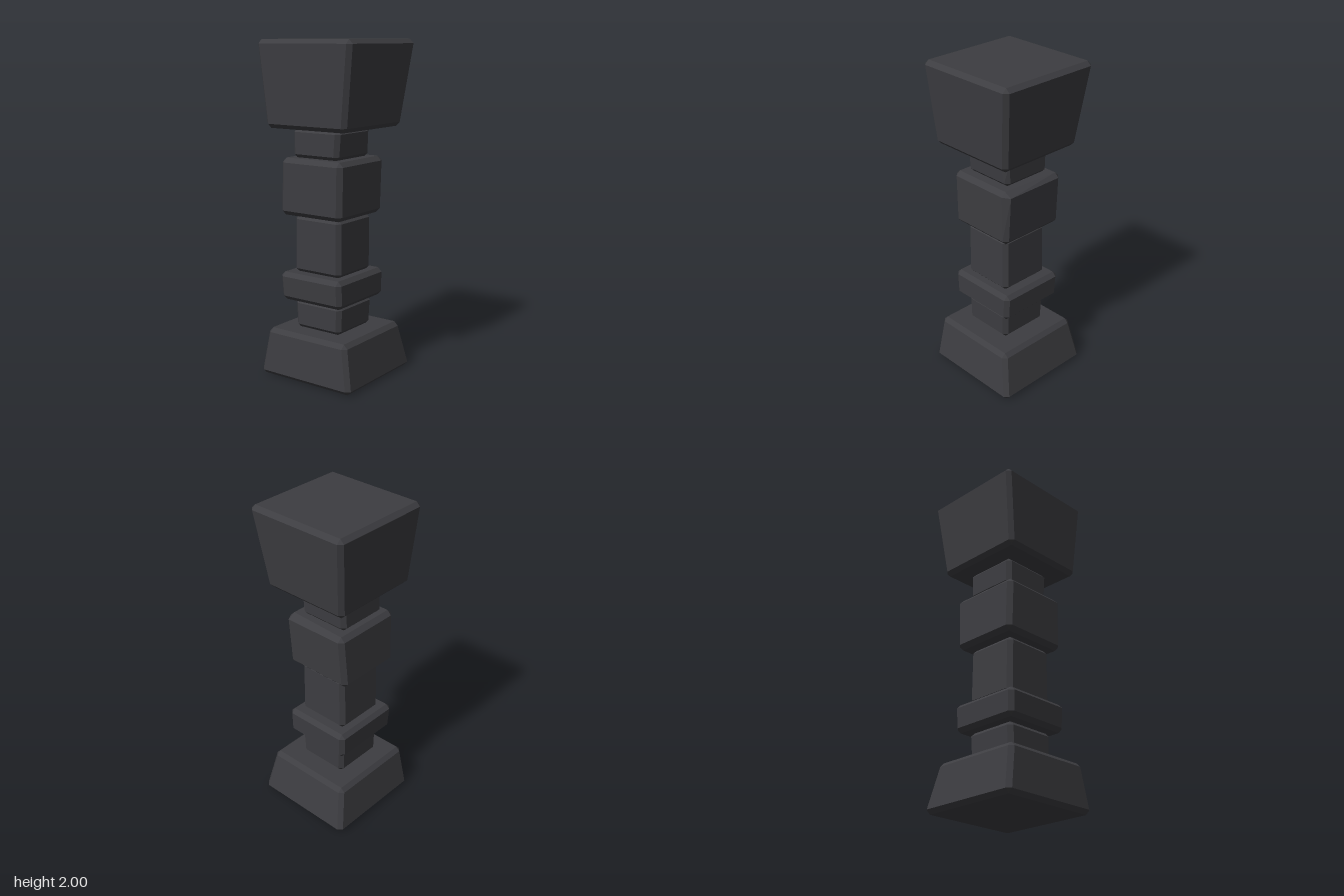
import * as THREE from 'three';
import { ConvexGeometry } from 'three/addons/geometries/ConvexGeometry.js';

const stone = new THREE.MeshStandardMaterial({ color: 0x3d3d41 });

// Tapered block with every edge bevelled by c.
// bottom and top are [xMin, xMax, zMin, zMax]; chip widens the bevel at the top of the +x, -z corner.
function block(name, y0, y1, bottom, top, c = 0.025, chip = 0) {
  const points = [];
  for (const [r, y, sy] of [[bottom, y0, -1], [top, y1, 1]]) {
    for (const sx of [-1, 1]) {
      for (const sz of [-1, 1]) {
        const x = sx < 0 ? r[0] : r[1];
        const z = sz < 0 ? r[2] : r[3];
        const cz = c + (sy > 0 && sx > 0 && sz < 0 ? chip : 0);
        points.push(
          new THREE.Vector3(x - sx * c, y, z - sz * cz),
          new THREE.Vector3(x, y - sy * c, z - sz * cz),
          new THREE.Vector3(x - sx * c, y - sy * c, z)
        );
      }
    }
  }
  const mesh = new THREE.Mesh(new ConvexGeometry(points), stone);
  mesh.name = name;
  return mesh;
}

export function createModel() {
  const group = new THREE.Group();
  group.name = 'pillar';
  group.add(
    // Flared foot
    block('base', 0, 0.29, [-0.33, 0.325, -0.325, 0.33], [-0.29, 0.285, -0.27, 0.31]),
    // Slightly uneven stacked shaft
    block('lowerNeck', 0.285, 0.465, [-0.17, 0.155, -0.14, 0.19], [-0.175, 0.16, -0.145, 0.19]),
    block('ring', 0.465, 0.635, [-0.23, 0.205, -0.2, 0.25], [-0.235, 0.205, -0.205, 0.257]),
    block('shaft', 0.63, 0.98, [-0.18, 0.155, -0.14, 0.19], [-0.175, 0.155, -0.14, 0.19]),
    block('upperBlock', 0.98, 1.32, [-0.24, 0.2, -0.19, 0.245], [-0.23, 0.205, -0.21, 0.245], 0.027, 0.02),
    block('upperNeck', 1.315, 1.495, [-0.185, 0.14, -0.14, 0.19], [-0.185, 0.15, -0.145, 0.19], 0.025, 0.02),
    // Capital, widening upwards
    block('capital', 1.495, 2, [-0.285, 0.28, -0.27, 0.31], [-0.33, 0.33, -0.33, 0.33])
  );
  return group;
}
